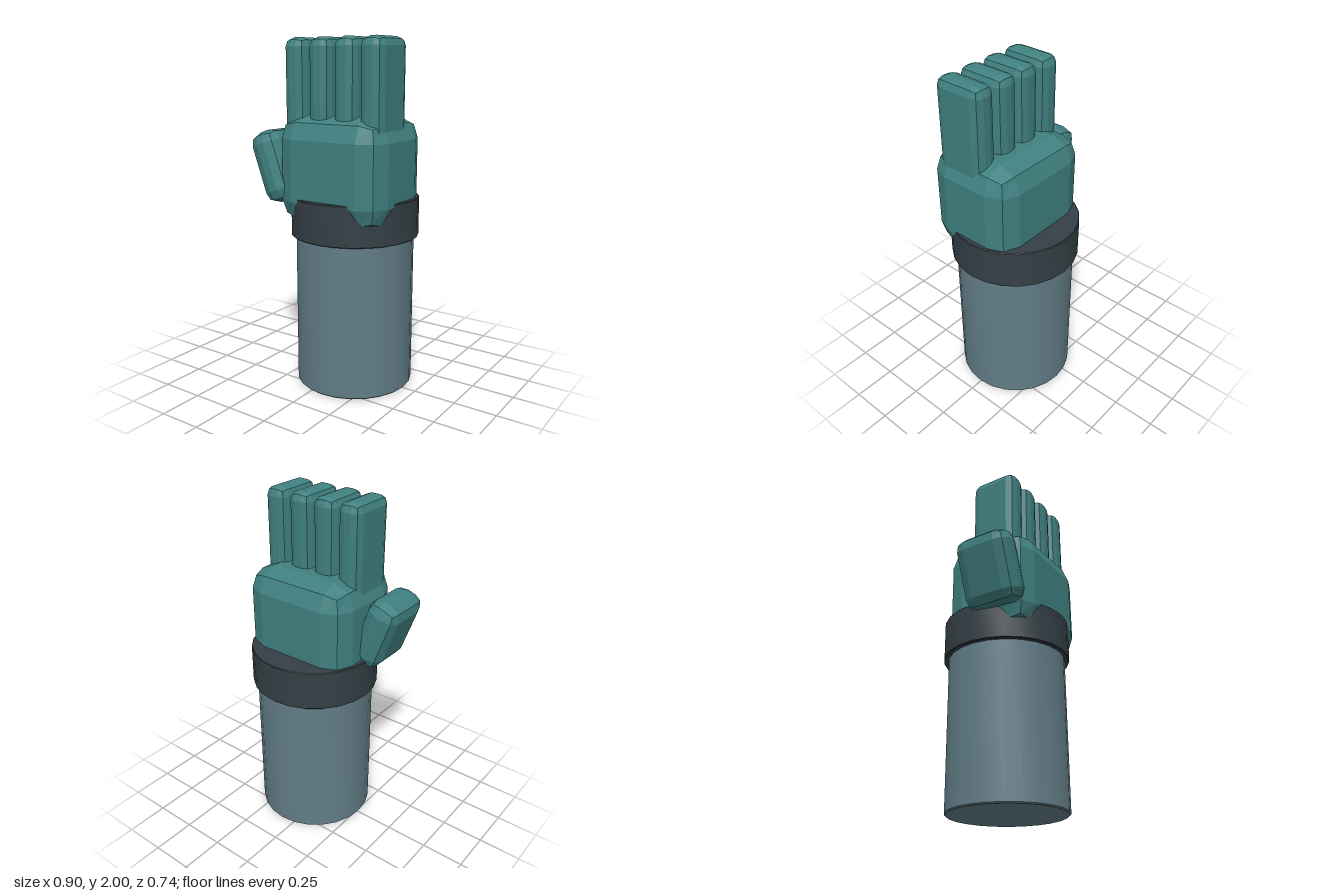
import * as THREE from 'three';
import { RoundedBoxGeometry } from 'three/addons/geometries/RoundedBoxGeometry.js';
import { toCreasedNormals } from 'three/addons/utils/BufferGeometryUtils.js';

const material = (name, color) => {
  const m = new THREE.MeshStandardMaterial({ color });
  m.name = name;
  return m;
};

export function createModel() {
  const model = new THREE.Group();
  model.name = 'gloveHand';
  const teal = material('gloveTeal', 0x408080);
  teal.flatShading = true;
  const grey = material('sleeveGrey', 0x627d87);
  const dark = material('cuffCharcoal', 0x343f45);

  const add = (name, geometry, mat, x, y, z) => {
    const mesh = new THREE.Mesh(geometry, mat);
    mesh.name = name;
    mesh.position.set(x, y, z);
    model.add(mesh);
    return mesh;
  };

  // box with a two-step bevel on every edge
  const bevelBox = (w, h, d, r) => new RoundedBoxGeometry(w, h, d, 1, r);

  // closed round section from a profile, with a tiny bevel at the rims
  const drum = (r, h, b) => toCreasedNormals(new THREE.LatheGeometry([
    [0, 0], [r - b, 0], [r, b], [r, h - b], [r - b, h], [0, h],
  ].map(([x, y]) => new THREE.Vector2(x, y)), 24), 0.5);

  // forearm and wrist band
  add('sleeve', drum(0.343, 0.92, 0.007), grey, 0.08, 0, 0);
  add('cuff', drum(0.37, 0.23, 0.004), dark, 0.08, 0.89, 0);

  // hand
  add('palm', bevelBox(0.68, 0.61, 0.55, 0.13), teal, 0.08, 1.275, 0.052);
  for (let i = 0; i < 4; i++) {
    add('finger' + (i + 1), bevelBox(0.14, 0.6, 0.295, 0.05), teal, -0.169 + i * 0.165, 1.7, 0.104);
  }
  const thumb = add('thumb', bevelBox(0.19, 0.42, 0.34, 0.07), teal, -0.315, 1.28, 0.147);
  thumb.rotation.z = THREE.MathUtils.degToRad(20);

  return model;
}
